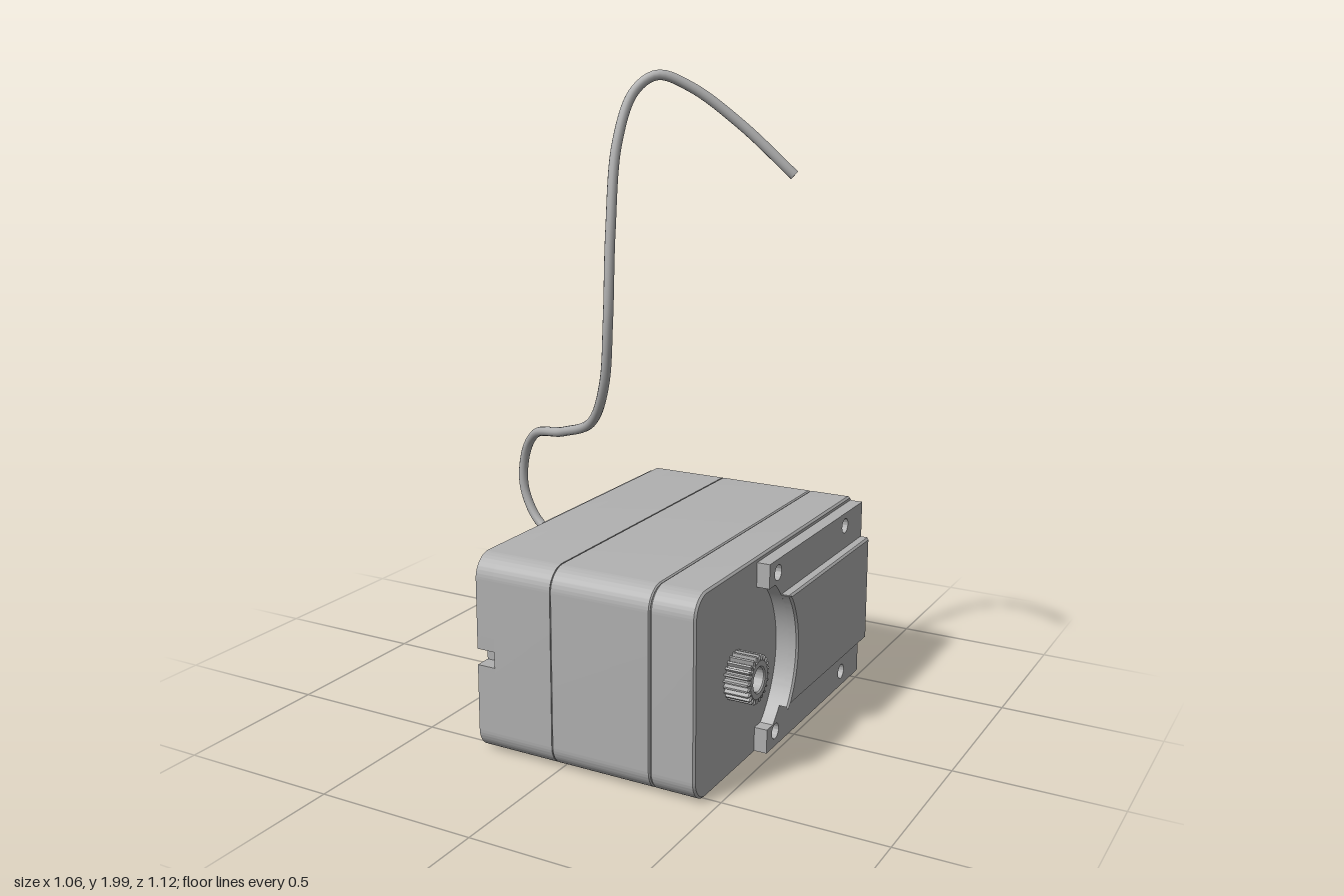
import * as THREE from 'three';
import { toCreasedNormals } from 'three/addons/utils/BufferGeometryUtils.js';

const plastic = new THREE.MeshStandardMaterial({ color: 0xb0b0b0 });
plastic.name = 'grey plastic';

const AXIS_Y = 0.312, AXIS_Z = 0.315;

// Outline drawn with u = -z and v = y
function outline(points) {
  return new THREE.Shape(points.map(([z, y]) => new THREE.Vector2(-z, y)));
}

function circle(z, y, r, T = THREE.Path) {
  return new T().absarc(-z, y, r, 0, Math.PI * 2, false);
}

// Extrude an outline sideways from x0 to x1, bevel cut inside the outline
function slab(name, shape, x0, x1, bevel = 0) {
  const g = new THREE.ExtrudeGeometry(shape, {
    depth: x1 - x0 - 2 * bevel, curveSegments: 24,
    bevelEnabled: bevel > 0, bevelThickness: bevel, bevelSize: bevel, bevelOffset: -bevel, bevelSegments: 1,
  });
  g.translate(0, 0, x0 + bevel);
  g.rotateY(Math.PI / 2);
  const m = new THREE.Mesh(toCreasedNormals(g, 0.5), plastic);
  m.name = name;
  return m;
}

// Case cross-section: large radii at the front, small at the back
function caseShape(notch) {
  const f = -0.56, b = 0.56, lo = 0.01, hi = 0.622, R = 0.07, r = 0.03;
  const s = new THREE.Shape();
  s.moveTo(f + R, lo);
  s.lineTo(b - r, lo);
  s.absarc(b - r, lo + r, r, -Math.PI / 2, 0, false);
  s.absarc(b - r, hi - r, r, 0, Math.PI / 2, false);
  s.absarc(f + R, hi - R, R, Math.PI / 2, Math.PI, false);
  if (notch) {
    s.lineTo(f, 0.335);
    s.lineTo(f + 0.05, 0.335);
    s.lineTo(f + 0.05, 0.285);
    s.lineTo(f, 0.285);
  }
  s.absarc(f + R, lo + R, R, Math.PI, Math.PI * 1.5, false);
  return s;
}

// Outline with a round bite centred on the output shaft
function bittenShape(ear, y0, y1, inset, back) {
  const R = 0.285, half = (y1 - y0) / 2 - inset;
  const a = Math.asin(half / R), biteZ = AXIS_Z - R * Math.cos(a);
  const s = new THREE.Shape();
  s.moveTo(-Math.max(ear, biteZ), y0);
  s.lineTo(-back, y0);
  s.lineTo(-back, y1);
  s.lineTo(-Math.max(ear, biteZ), y1);
  if (inset > 0) s.lineTo(-ear, AXIS_Y + half);
  s.absarc(-AXIS_Z, AXIS_Y, R, a, -a, true);
  if (inset > 0) s.lineTo(-ear, AXIS_Y - half);
  return s;
}

export function createModel() {
  const model = new THREE.Group();
  model.name = 'servo motor';

  // Case, in sections divided by fine seams
  model.add(
    slab('leftCaseEdge', caseShape(true), -0.275, -0.215),
    slab('leftCase', caseShape(false), -0.215, -0.02),
    slab('middleCase', caseShape(false), -0.02, 0.305, 0.004),
    slab('rightCase', caseShape(false), 0.305, 0.447, 0.006),
  );

  // Right cover with screw holes and raised panel
  const cover = bittenShape(0.175, 0.017, 0.607, 0.075, -0.545);
  for (const z of [0.115, -0.4]) for (const y of [0.065, 0.565]) cover.holes.push(circle(z, y, 0.024));
  model.add(slab('rightCover', cover, 0.445, 0.488));
  model.add(slab('rightPanel', bittenShape(0, 0.14, 0.49, 0, -0.54), 0.48, 0.518, 0.006));

  // Screws sunk in the right and left covers
  const screw = (x0, x1, z, y) => model.add(slab('screw', circle(z, y, 0.016, THREE.Shape), x0, x1));
  for (const z of [0.115, -0.4]) for (const y of [0.065, 0.565]) screw(0.445, 0.465, z, y);

  // Left cover, open at the cable recess
  const left = outline([[0.16, 0.02], [-0.54, 0.02], [-0.54, 0.607], [0.16, 0.607],
    [0.16, 0.51], [0.08, 0.51], [0.05, 0.47], [-0.1, 0.47], [-0.1, 0.15], [0.05, 0.15], [0.08, 0.12], [0.16, 0.12]].reverse());
  for (const z of [0.12, -0.5]) for (const y of [0.065, 0.565]) {
    left.holes.push(circle(z, y, 0.024));
    screw(-0.292, -0.27, z, y);
  }
  model.add(slab('leftCover', left, -0.305, -0.274));

  // Raised block on the left cover, sloping toward the recess
  const wedge = new THREE.Shape([[-0.3, 0.43], [-0.35, 0.42], [-0.35, 0.18], [-0.3, 0.115]]
    .map(([x, v]) => new THREE.Vector2(x, v)));
  const wedgeGeo = new THREE.ExtrudeGeometry(wedge, { depth: 0.45, bevelEnabled: false });
  wedgeGeo.rotateX(-Math.PI / 2);
  wedgeGeo.translate(0, 0.09, 0);
  const block = new THREE.Mesh(wedgeGeo, plastic);
  block.name = 'leftBlock';
  model.add(block);

  // Hollow idler pin and its collar
  const pin = circle(0.305, AXIS_Y, 0.073, THREE.Shape);
  pin.holes.push(circle(0.305, AXIS_Y, 0.032));
  const collar = circle(0.305, AXIS_Y, 0.122, THREE.Shape);
  model.add(slab('idlerPin', pin, -0.373, -0.27), slab('pinCollar', collar, -0.281, -0.27));

  // Toothed output shaft
  const teeth = 24, pts = [];
  for (let i = 0; i < teeth; i++) {
    for (const [k, r] of [[0, 0.06], [0.3, 0.06], [0.5, 0.073], [0.8, 0.073]]) {
      const a = ((i + k) / teeth) * Math.PI * 2;
      pts.push(new THREE.Vector2(-AXIS_Z + r * Math.cos(a), AXIS_Y + r * Math.sin(a)));
    }
  }
  const gear = new THREE.Shape(pts);
  gear.holes.push(circle(AXIS_Z, AXIS_Y, 0.036));
  model.add(slab('outputShaft', gear, 0.44, 0.525, 0.004));

  // Cable
  const path = new THREE.CatmullRomCurve3([
    [-0.26, 0.49, -0.036], [-0.36, 0.49, -0.038], [-0.455, 0.535, -0.048], [-0.513, 0.64, -0.055],
    [-0.505, 0.75, -0.05], [-0.44, 0.84, -0.012], [-0.26, 0.895, 0.1], [-0.1, 0.965, 0.19],
    [-0.02, 1.1, 0.25], [0.014, 1.3, 0.283], [0.012, 1.55, 0.263], [0.005, 1.8, 0.21],
    [0.03, 1.94, 0.155], [0.085, 1.985, 0.118], [0.17, 1.95, 0.07], [0.3, 1.845, 0.01], [0.445, 1.705, -0.04],
  ].map((p) => new THREE.Vector3(...p)));
  const cable = new THREE.Mesh(new THREE.TubeGeometry(path, 160, 0.015, 12), plastic);
  cable.name = 'cable';
  const cap = new THREE.Mesh(new THREE.CircleGeometry(0.015, 12), plastic);
  cap.name = 'cableEnd';
  cap.position.copy(path.getPoint(1));
  cap.lookAt(path.getPoint(1).add(path.getTangent(1)));
  model.add(cable, cap);

  return model;
}
